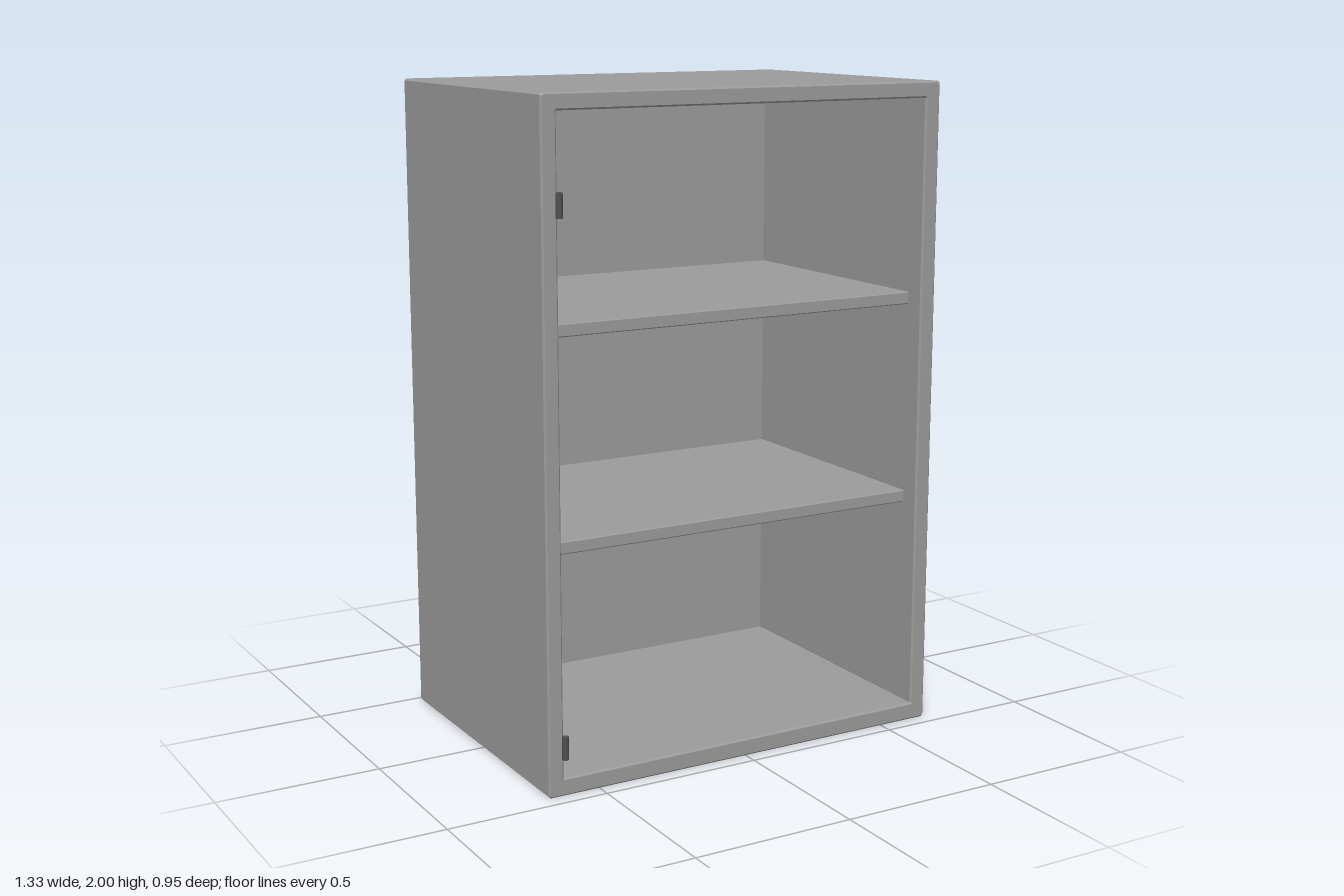
import * as THREE from 'three';

const W = 1.328, H = 2, BACK = -0.475, FRONT = 0.457;
const panelMaterial = new THREE.MeshStandardMaterial({ color: 0x9b9b9b, flatShading: true });
const fittingMaterial = new THREE.MeshStandardMaterial({ color: 0x505050 });

// Rectangle outline with small chamfered corners
function outline(Type, x0, y0, x1, y1, c) {
  const points = [
    [x0 + c, y0], [x1 - c, y0], [x1, y0 + c], [x1, y1 - c],
    [x1 - c, y1], [x0 + c, y1], [x0, y1 - c], [x0, y0 + c],
  ];
  return new Type(points.map(([x, y]) => new THREE.Vector2(x, y)));
}

// Extrudes a shape from z0 to z1, with its end edges chamfered by the given amount
function slab(name, shape, z0, z1, bevel) {
  const geometry = new THREE.ExtrudeGeometry(shape, {
    depth: z1 - z0 - 2 * bevel, bevelEnabled: bevel > 0, bevelSegments: 1,
    bevelSize: bevel, bevelThickness: bevel, bevelOffset: -bevel,
  });
  geometry.translate(0, 0, z0 + bevel);
  const mesh = new THREE.Mesh(geometry, panelMaterial);
  mesh.name = name;
  return mesh;
}

function cylinder(name, radius, height, x, y, z) {
  const mesh = new THREE.Mesh(new THREE.CylinderGeometry(radius, radius, height, 16), fittingMaterial);
  mesh.name = name;
  mesh.position.set(x, y, z);
  return mesh;
}

export function createModel() {
  const model = new THREE.Group();
  model.name = 'openCabinet';

  // Carcass: open frame with a closed back
  const frame = outline(THREE.Shape, -W / 2, 0, W / 2, H, 0.006);
  frame.holes.push(outline(THREE.Path, -0.616, 0.054, 0.612, 1.951, 0.001));
  model.add(slab('cabinetFrame', frame, -0.438, FRONT, 0.005));
  model.add(slab('backPanel', outline(THREE.Shape, -W / 2, 0, W / 2, H, 0.006), BACK, -0.43, 0));

  // Shelves, each with three stepped pegs underneath
  for (const bottom of [0.698, 1.323]) {
    const shelf = new THREE.Group();
    shelf.name = 'shelf';
    shelf.add(slab('shelfBoard', outline(THREE.Shape, -0.622, bottom, 0.618, bottom + 0.038, 0.002), -0.435, 0.393, 0.003));
    for (const x of [-0.555, 0.013, 0.57]) {
      shelf.add(cylinder('pegCollar', 0.014, 0.018, x, bottom - 0.009, -0.02));
      shelf.add(cylinder('pegStem', 0.01, 0.014, x, bottom - 0.025, -0.02));
    }
    model.add(shelf);
  }

  // Hinge barrels on the front edge of the right side
  for (const y of [0.149, 1.698]) model.add(cylinder('hingeBarrel', 0.01, 0.07, -0.615, y, 0.465));

  return model;
}
